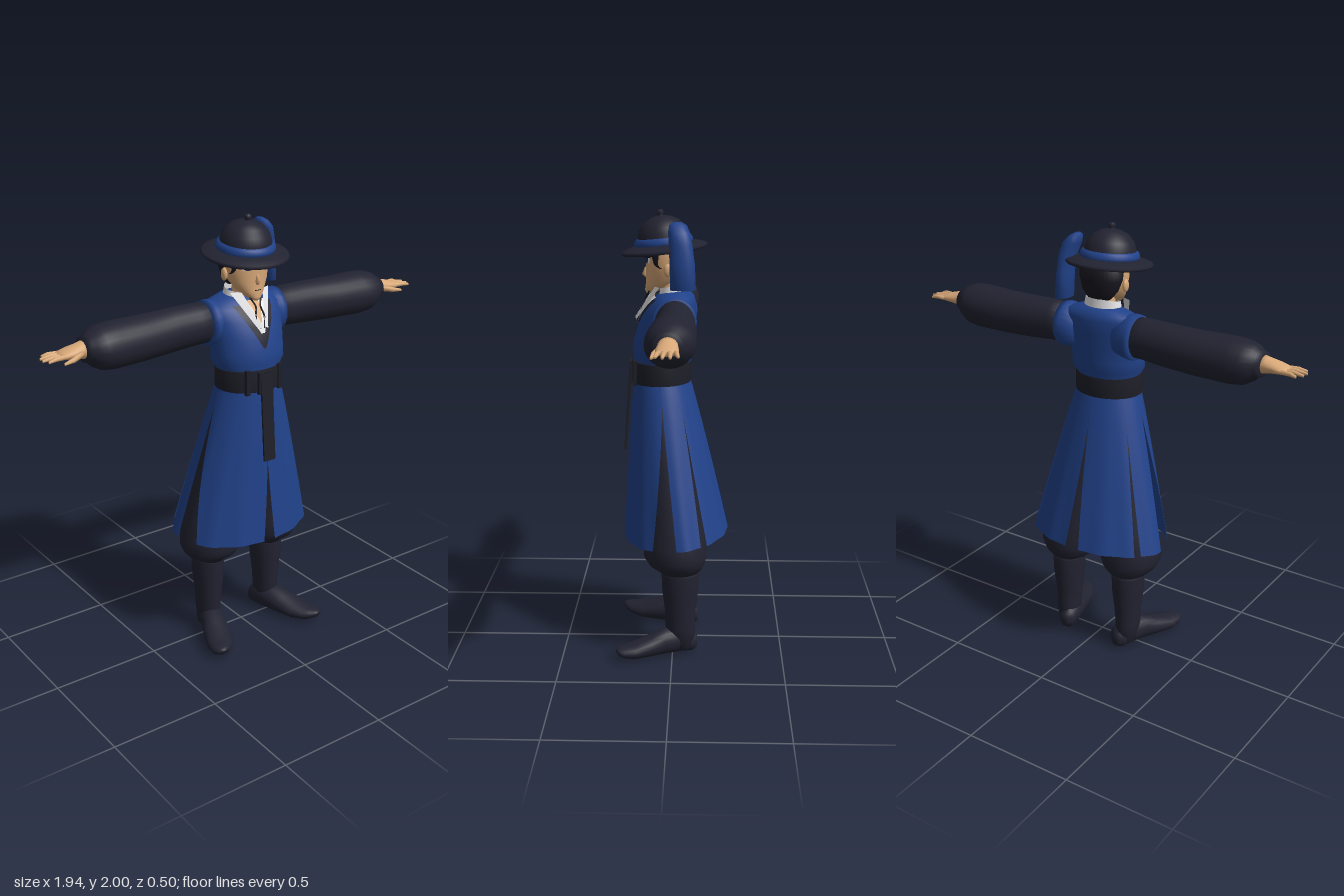
import * as THREE from 'three';

const D = THREE.DoubleSide;
const mat = (name, color, side = THREE.FrontSide) => {
  const m = new THREE.MeshStandardMaterial({ color, side });
  m.name = name;
  return m;
};

// Indexed grid surface from f(u, v) -> [x, y, z]
function grid(nu, nv, f) {
  const p = [], idx = [];
  for (let i = 0; i <= nu; i++) for (let j = 0; j <= nv; j++) p.push(...f(i / nu, j / nv));
  for (let i = 0; i < nu; i++) for (let j = 0; j < nv; j++) {
    const a = i * (nv + 1) + j, b = a + nv + 1;
    idx.push(a, b, b + 1, a, b + 1, a + 1);
  }
  const g = new THREE.BufferGeometry();
  g.setAttribute('position', new THREE.Float32BufferAttribute(p, 3));
  g.setIndex(idx);
  g.computeVertexNormals();
  return g;
}

// Closed loft of elliptical sections [t, a, b, ra, rb] along an axis; s = -1 mirrors in x
function loft(axis, rows, s = 1, seg = 24) {
  const put = { y: (t, a, b) => [s * a, t, b], x: (t, a, b) => [s * t, a, b], z: (t, a, b) => [s * a, b, t] }[axis];
  const p = [], idx = [], n = rows.length;
  for (const [t, a, b, ra, rb] of rows) for (let j = 0; j < seg; j++) {
    const w = (j / seg) * Math.PI * 2;
    p.push(...put(t, a + ra * Math.cos(w), b + rb * Math.sin(w)));
  }
  for (let i = 0; i < n - 1; i++) for (let j = 0; j < seg; j++) {
    const a = i * seg + j, b = i * seg + (j + 1) % seg;
    idx.push(a, a + seg, b + seg, a, b + seg, b);
  }
  for (const e of [0, n - 1]) {
    p.push(...put(rows[e][0], rows[e][1], rows[e][2]));
    for (let j = 0; j < seg; j++) {
      const a = e * seg + j, b = e * seg + (j + 1) % seg, c = p.length / 3 - 1;
      idx.push(...(e ? [c, b, a] : [c, a, b]));
    }
  }
  // the y loft faces outward; the x and z lofts and mirrored ones turn over
  if ((axis === 'y') !== (s > 0)) for (let k = 0; k < idx.length; k += 3) [idx[k], idx[k + 1]] = [idx[k + 1], idx[k]];
  const g = new THREE.BufferGeometry();
  g.setAttribute('position', new THREE.Float32BufferAttribute(p, 3));
  g.setIndex(idx);
  g.computeVertexNormals();
  return g;
}

// Front z of a y loft at (x, y)
function frontZ(rows, x, y) {
  let i = 0;
  while (i < rows.length - 2 && y > rows[i + 1][0]) i++;
  const k = THREE.MathUtils.clamp((y - rows[i][0]) / (rows[i + 1][0] - rows[i][0]), 0, 1);
  const [, , b, ra, rb] = rows[i].map((v, c) => v + (rows[i + 1][c] - v) * k);
  return b + rb * Math.sqrt(Math.max(0, 1 - (x / ra) ** 2));
}

// Thin quad laid on the front of a y loft, corners [x, y]
const patch = (rows, [a, b, c, d], off) => grid(8, 8, (u, v) => {
  const q = [0, 1].map(k => (a[k] * (1 - u) + b[k] * u) * (1 - v) + (d[k] * (1 - u) + c[k] * u) * v);
  return [q[0], q[1], frontZ(rows, q[0], q[1]) + off];
});

export function createModel() {
  const root = new THREE.Group();
  const blue = mat('blue cloth', 0x21428a, D), dark = mat('dark cloth', 0x222331, D);
  const belt = mat('belt black', 0x1e1f28), skin = mat('skin', 0xd8a878, D);
  const white = mat('white collar', 0xe6e6e8, D), hair = mat('hair', 0x17171f, D), iris = mat('eye blue', 0x1d2c5c, D);
  const add = (name, geo, m, parent = root) => {
    const mesh = new THREE.Mesh(geo, m);
    mesh.name = name;
    parent.add(mesh);
    return mesh;
  };
  const mirror = fn => [1, -1].forEach(s => fn(s, s > 0 ? 'left' : 'right'));
  const tube = (pts, r) => new THREE.TubeGeometry(new THREE.CatmullRomCurve3(pts.map(q => new THREE.Vector3(...q))), 12, r, 6);

  // Vest
  const torso = [[1.26, 0, .052, .145, .122], [1.33, 0, .05, .148, .125], [1.365, 0, .047, .172, .134], [1.41, 0, .045, .17, .135],
    [1.48, 0, .035, .175, .128], [1.55, 0, .018, .185, .118], [1.6, 0, .002, .19, .1], [1.625, 0, -.008, .165, .083], [1.65, 0, -.01, .085, .06]];
  add('vest', loft('y', torso, 1, 40), blue);

  // Crossed neckline, shirt and throat
  add('neckline', patch(torso, [[-.1, 1.615], [.1, 1.615], [.006, 1.435], [-.006, 1.435]], .004), dark);
  add('shirtFront', patch(torso, [[-.07, 1.625], [.07, 1.625], [.01, 1.5], [-.01, 1.5]], .008), white);
  add('throat', patch(torso, [[-.03, 1.63], [.03, 1.63], [.004, 1.545], [-.004, 1.545]], .012), skin);
  add('neck', loft('y', [[1.58, 0, .01, .055, .055], [1.65, 0, .012, .048, .048], [1.74, 0, .02, .05, .05]]), skin);
  add('collar', grid(24, 3, (u, v) => {
    const a = .5 + u * (Math.PI * 2 - 1), r = .088 - .012 * v;
    return [r * 1.08 * Math.sin(a), 1.605 + v * (.07 - .015 * Math.cos(a)), .004 + r * .8 * Math.cos(a)];
  }), white);
  mirror((s, side) => {
    add(side + 'Lapel', grid(6, 2, (u, v) => {
      const x = (.1 - .045 * v) * (1 - u) + (.025 - .02 * v) * u, y = 1.67 - u * .15 + .01 * v * u;
      return [s * x, y, .06 + .02 * v + u * (.105 - .015 * v)];
    }), white);
    add(side + 'Cord', tube([[s * .03, 1.65, .105], [s * .012, 1.61, .125], [s * .022, 1.57, .14], [s * .01, 1.52, .16]], .004), hair);
  });

  // Sash with its knot and hanging end
  add('sash', loft('y', [[1.24, 0, .054, .15, .126], [1.245, 0, .054, .157, .132], [1.335, 0, .054, .157, .132], [1.34, 0, .054, .15, .126]], 1, 40), belt);
  add('sashKnot', new THREE.BoxGeometry(.075, .1, .02), belt).position.set(-.005, 1.285, .186);
  const tail = add('sashEnd', new THREE.BoxGeometry(.06, .4, .009), belt);
  tail.position.set(-.003, 1.125, .206);
  tail.rotation.x = -.07;
  mirror((s, side) => add(side + 'SashLoop', new THREE.BoxGeometry(.02, .112, .02), belt).position.set(s * .085, 1.29, .166));

  // Skirt panels: edge angles in degrees from the front, at the waist and at the hem, and the height each slit opens
  const panels = [['Front', [0, 5, .92], [89, 66, 1.16]], ['Side', [89, 92, 1.16], [124, 119, 1.12]], ['Back', [124, 126, 1.12], [180, 174, 1.12]]];
  const edge = ([a0, a1, open], y) => {
    const k = Math.max(0, (open - y) / (open - .53));
    return THREE.MathUtils.degToRad(a0 + (a1 - a0) * k);
  };
  mirror((s, side) => {
    for (const [name, e0, e1] of panels) add(side + name + 'Skirt', grid(14, 14, (u, v) => {
      const y0 = 1.26 - .735 * v, a = edge(e0, y0) * (1 - u) + edge(e1, y0) * u;
      const w = Math.pow(v, .93), rx = .148 + .192 * w, rz = .125 + .113 * w;
      const fold = 1 + .012 * v * Math.cos(a * 14);
      return [s * rx * fold * Math.sin(a), y0 + .018 * v * (1 - Math.cos(a)), .052 - .066 * v + rz * fold * Math.cos(a)];
    }), blue);

    // Gathered trousers
    add(side + 'TrouserLeg', loft('y', [[.385, .165, -.03, .07, .08], [.405, .165, -.03, .1, .1], [.43, .165, -.02, .125, .125], [.47, .167, -.012, .143, .142],
      [.53, .165, -.012, .142, .138], [.62, .15, -.01, .135, .128], [.9, .11, .02, .105, .11], [1.2, .07, .05, .075, .1]], s), dark);

    // Boots, toes turned out
    add(side + 'BootShaft', loft('y', [[.03, .165, -.04, .05, .06], [.12, .17, -.035, .055, .068], [.2, .168, -.035, .06, .07], [.3, .168, -.035, .072, .082],
      [.38, .168, -.035, .075, .085], [.41, .168, -.035, .073, .083]], s), dark);
    add(side + 'BootFoot', loft('z', [[-.112, .15, .045, .022, .03], [-.09, .152, .052, .045, .052], [-.04, .162, .065, .056, .065], [.03, .185, .062, .062, .062], [.09, .21, .05, .068, .05],
      [.16, .237, .038, .07, .038], [.215, .258, .037, .055, .028], [.24, .268, .042, .035, .019], [.252, .272, .046, .012, .008]], s), dark);

    // Sleeves and armholes
    add(side + 'Armhole', loft('x', [[.1, 1.535, -.005, .09, .085], [.17, 1.535, -.008, .102, .097], [.195, 1.537, -.01, .098, .092]], s), blue);
    add(side + 'Sleeve', loft('x', [[.15, 1.537, -.01, .088, .08], [.24, 1.54, -.012, .091, .085], [.35, 1.535, -.016, .095, .086], [.5, 1.53, -.012, .097, .098],
      [.65, 1.53, -.006, .1, .102], [.71, 1.531, -.004, .093, .1], [.75, 1.535, -.002, .075, .08], [.765, 1.537, 0, .058, .06], [.785, 1.537, 0, .052, .058]], s), dark);

    // Hand with spread fingers and thumb
    const hand = new THREE.Group();
    hand.name = side + 'Hand';
    root.add(hand);
    add('palm', loft('x', [[.77, 1.538, 0, .042, .042], [.8, 1.538, 0, .034, .04], [.84, 1.537, 0, .025, .045], [.875, 1.534, 0, .018, .044], [.895, 1.533, 0, .01, .036]], s, 16), skin, hand);
    [-.035, -.012, .011, .033].forEach((z, i) => add('finger', loft('x', [[.87, 1.533, z * .9, .011, .011], [.92, 1.535, z * 1.1, .01, .01],
      [[.945, .965, .968, .955][i], 1.53, z * 1.25, .006, .006]], s, 8), skin, hand));
    add('thumb', loft('x', [[.8, 1.532, .03, .014, .012], [.85, 1.522, .05, .012, .012], [.895, 1.515, .058, .006, .006]], s, 8), skin, hand);
  });

  // Head, hair and face
  const head = [[1.635, 0, .105, .012, .015], [1.65, 0, .088, .036, .038], [1.68, 0, .062, .066, .06], [1.72, 0, .042, .09, .079],
    [1.77, 0, .034, .1, .088], [1.83, 0, .032, .1, .09], [1.9, 0, .032, .085, .08]];
  add('head', loft('y', head, 1, 32), skin);
  add('nose', loft('y', [[1.705, 0, .118, .007, .008], [1.718, 0, .122, .012, .017], [1.75, 0, .118, .006, .008]], 1, 8), skin);
  add('mouth', patch(head, [[-.018, 1.683], [.018, 1.683], [.016, 1.68], [-.016, 1.68]], .003), hair);
  add('hair', loft('y', [[1.685, 0, -.025, .055, .03], [1.72, 0, -.018, .085, .055], [1.77, 0, -.01, .102, .068], [1.85, 0, 0, .105, .08]], 1, 32), hair);
  add('fringe', patch(head, [[-.092, 1.835], [.092, 1.835], [.088, 1.8], [-.088, 1.8]], .006), hair);
  mirror((s, side) => {
    add(side + 'Sideburn', patch(head, [[s * .078, 1.82], [s * .097, 1.82], [s * .096, 1.75], [s * .088, 1.77]], .007), hair);
    add(side + 'EyeWhite', patch(head, [[s * .02, 1.796], [s * .07, 1.799], [s * .066, 1.772], [s * .027, 1.772]], .003), white);
    add(side + 'Iris', patch(head, [[s * .03, 1.798], [s * .06, 1.798], [s * .057, 1.771], [s * .033, 1.771]], .005), iris);
    add(side + 'Eyelid', patch(head, [[s * .016, 1.801], [s * .076, 1.803], [s * .076, 1.795], [s * .016, 1.794]], .007), hair);
    const ear = add(side + 'Ear', new THREE.SphereGeometry(.024, 12, 8), skin);
    ear.scale.set(.5, 1.2, .8);
    ear.position.set(s * .104, 1.745, .022);
  });

  // Wide-brimmed hat, tipped forward
  const hat = new THREE.Group();
  hat.name = 'hat';
  hat.position.set(-.008, 1.842, .042);
  hat.rotation.x = .12;
  root.add(hat);
  const lathe = pts => new THREE.LatheGeometry(pts.map(q => new THREE.Vector2(...q)), 40);
  add('brim', lathe([[.09, -.012], [.15, -.018], [.185, -.022], [.192, -.014], [.185, -.006], [.15, .006], [.1, .016]]), dark, hat);
  add('crown', lathe([[.118, 0], [.113, .045], [.1, .08], [.075, .108], [.045, .124], [.014, .131]]), dark, hat);
  add('knob', lathe([[.014, .128], [.012, .136], [.017, .144], [.013, .154], [0, .158]]), dark, hat);
  add('hatBand', lathe([[.115, .002], [.128, .006], [.13, .02], [.124, .036], [.112, .042]]), blue, hat);

  // Ribbon hanging from the hat band
  add('hatRibbon', loft('y', [[1.67, .17, -.045, .036, .055], [1.78, .165, -.041, .034, .054], [1.86, .155, -.034, .037, .05],
    [1.91, .138, -.027, .04, .047], [1.94, .122, -.022, .028, .038], [1.952, .116, -.02, .012, .02]], 1, 12), blue);
  return root;
}
